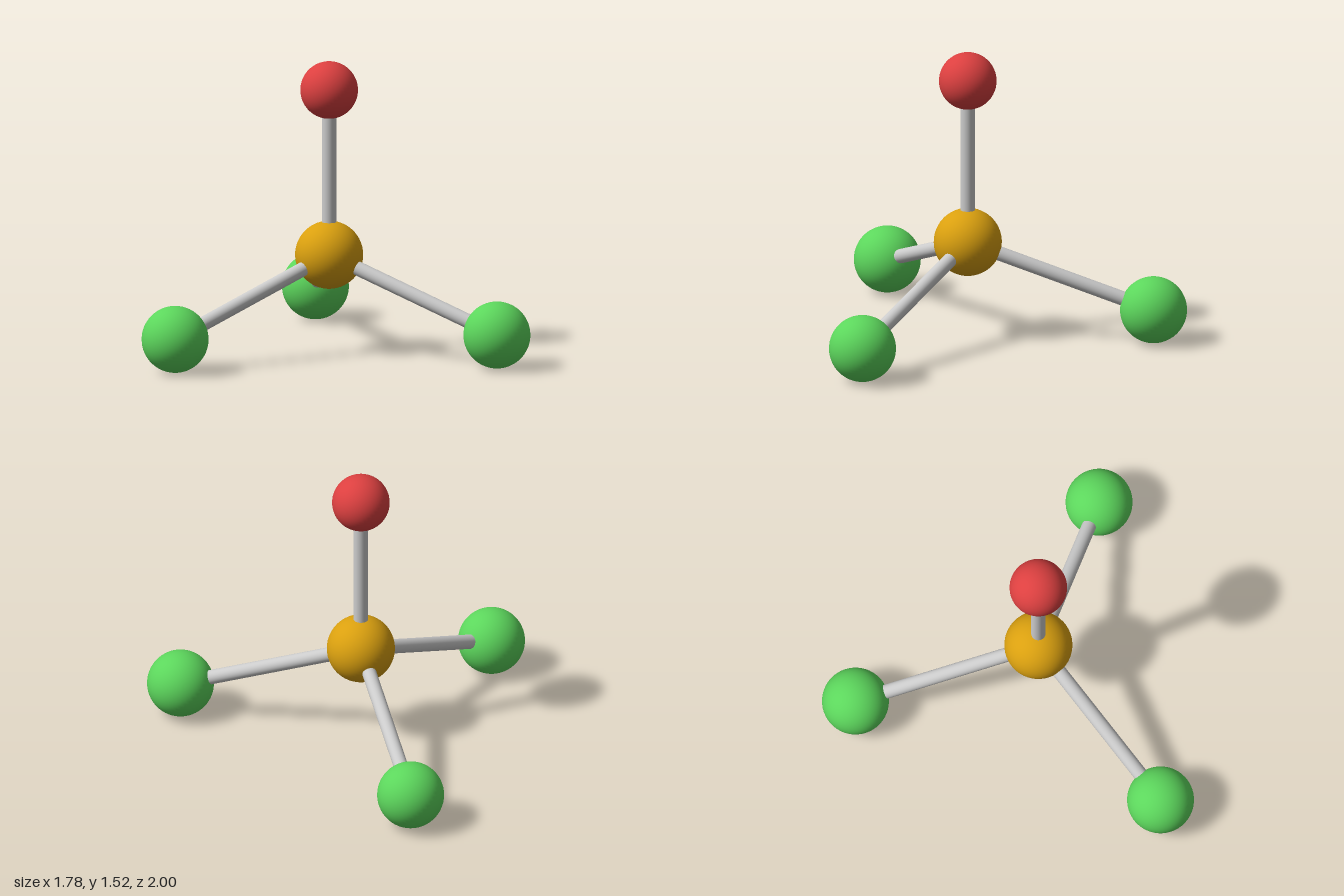
import * as THREE from 'three';

const material = (color) => new THREE.MeshStandardMaterial({ color });

function ball(name, radius, mat, position) {
  const mesh = new THREE.Mesh(new THREE.SphereGeometry(radius, 48, 32), mat);
  mesh.name = name;
  mesh.position.copy(position);
  return mesh;
}

// Cylinder running between two points
function rod(name, from, to, mat) {
  const dir = to.clone().sub(from);
  const mesh = new THREE.Mesh(new THREE.CylinderGeometry(0.037, 0.037, dir.length(), 32), mat);
  mesh.name = name;
  mesh.position.copy(from).add(to).multiplyScalar(0.5);
  mesh.quaternion.setFromUnitVectors(new THREE.Vector3(0, 1, 0), dir.normalize());
  return mesh;
}

export function createModel() {
  const model = new THREE.Group();
  model.name = 'moleculeModel';
  const grey = material(0xcccccc);
  const green = material(0x5cd65c);

  // Central atom
  const centre = new THREE.Vector3(-0.239, 0.513, 0);
  model.add(ball('centralAtom', 0.175, material(0xdaa00f), centre));

  // Top atom on its upright bond
  const top = new THREE.Vector3(-0.239, 1.373, 0);
  model.add(ball('topAtom', 0.148, material(0xdc4040), top), rod('topBond', centre, top, grey));

  // Three lower atoms, 120 degrees apart
  for (let i = 0; i < 3; i++) {
    const a = (i * Math.PI * 2) / 3;
    const p = new THREE.Vector3(centre.x + 0.956 * Math.cos(a), 0.172, 0.956 * Math.sin(a));
    model.add(ball(`lowerAtom${i + 1}`, 0.172, green, p), rod(`lowerBond${i + 1}`, centre, p, grey));
  }
  return model;
}
